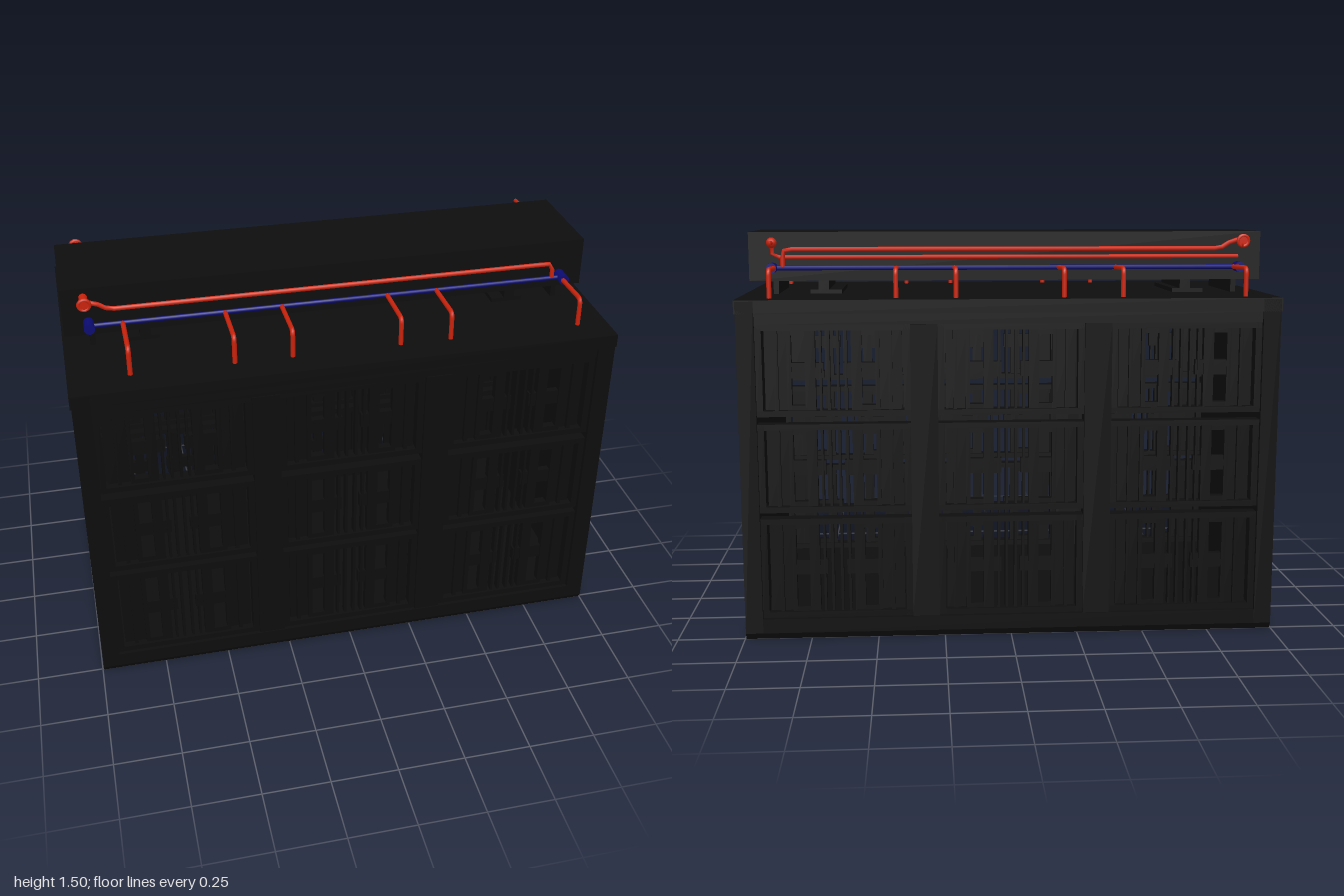
import * as THREE from 'three';

const mat = (name, color) => {
  const m = new THREE.MeshStandardMaterial({ color });
  m.name = name;
  return m;
};

export function createModel() {
  const root = new THREE.Group();
  const black = mat('black steel', 0x0d0d0d);
  const red = mat('red pipe', 0xc9220b);
  const blue = mat('blue pipe', 0x0b0b72);

  const add = (parent, name, geometry, material, x = 0, y = 0, z = 0) => {
    const m = new THREE.Mesh(geometry, material);
    m.name = name;
    m.position.set(x, y, z);
    parent.add(m);
    return m;
  };
  // Box given by its limits on each axis
  const box = (parent, name, x0, x1, y0, y1, z0, z1, material = black) =>
    add(parent, name, new THREE.BoxGeometry(x1 - x0, y1 - y0, z1 - z0), material,
      (x0 + x1) / 2, (y0 + y1) / 2, (z0 + z1) / 2);
  // Side profile (z, y) extruded along x
  const slab = (parent, name, points, x0, x1) => {
    const shape = new THREE.Shape(points.map(([z, y]) => new THREE.Vector2(-z, y)));
    const g = new THREE.ExtrudeGeometry(shape, { depth: x1 - x0, bevelEnabled: false });
    g.rotateY(Math.PI / 2);
    return add(parent, name, g, black, x0, 0, 0);
  };
  // Tube through straight runs with rounded elbows
  const pipe = (parent, name, pts, r, material) => {
    const v = pts.map(p => new THREE.Vector3(...p));
    const path = new THREE.CurvePath();
    let from = v[0];
    for (let i = 1; i < v.length - 1; i++) {
      const a = v[i].clone().add(v[i - 1].clone().sub(v[i]).setLength(0.022));
      const b = v[i].clone().add(v[i + 1].clone().sub(v[i]).setLength(0.022));
      path.add(new THREE.LineCurve3(from, a));
      path.add(new THREE.QuadraticBezierCurve3(a, v[i], b));
      from = b;
    }
    path.add(new THREE.LineCurve3(from, v[v.length - 1]));
    return add(parent, name, new THREE.TubeGeometry(path, v.length > 2 ? 60 : 2, r, 8), material);
  };

  // Cabinet shell, open at front and back
  const cabinet = new THREE.Group();
  cabinet.name = 'cabinet';
  root.add(cabinet);
  const D = 0.52;
  const side = [[-0.505, 0], [0.505, 0], [D, 0.025], [D, 1.265], [-D, 1.265], [-D, 0.025]];
  slab(cabinet, 'leftWall', side, 0.93, 0.995);
  slab(cabinet, 'rightWall', side, -0.995, -0.93);
  slab(cabinet, 'floor', [[-0.505, 0], [0.505, 0], [D, 0.025], [D, 0.08], [-D, 0.08], [-D, 0.025]], -0.93, 0.93);
  box(cabinet, 'roof', -1, 1, 1.22, 1.27, -D, D);
  box(cabinet, 'roofBeam', -0.93, 0.93, 1.18, 1.22, -0.51, 0.51);

  // Grille bay: frame, side panels, bars and an H shaped brace
  const bay = (parent, cx, y0, y1, half) => {
    const g = new THREE.Group();
    g.name = 'grilleBay';
    g.position.x = cx;
    parent.add(g);
    const zs = 0.465, ze = 0.495;
    box(g, 'lowerRail', -half, half, y0, y0 + 0.022, zs - 0.01, ze + 0.01);
    box(g, 'upperRail', -half, half, y1 - 0.022, y1, zs - 0.01, ze + 0.01);
    const mid = (y0 + y1) / 2;
    for (const s of [-1, 1]) {
      const bar = (name, a, b, z0, z1, ya = y0, yb = y1) =>
        box(g, name, Math.min(s * a, s * b), Math.max(s * a, s * b), ya, yb, z0, z1);
      bar('sidePanel', 0.152, half - 0.03, zs, zs + 0.014);
      bar('frameUpright', half - 0.024, half, zs, ze + 0.01);
      bar('panelRib', 0.152, 0.168, zs, ze);
      bar('panelRib', 0.2, 0.214, zs, ze);
      bar('wideBar', 0.065, 0.103, zs, ze);
      bar('thinBar', 0.042, 0.051, zs, ze);
      bar('thinBar', 0.012, 0.022, zs, ze);
      bar('brace', 0.035, 0.152, zs, ze - 0.005, mid - 0.028, mid + 0.028);
      bar('railTab', 0.1, 0.152, zs, ze, y1 - 0.04, y1 - 0.02);
      bar('railTab', 0.1, 0.152, zs, ze, y0 + 0.02, y0 + 0.04);
    }
  };
  for (const [name, turn] of [['frontFace', 0], ['backFace', Math.PI]]) {
    const face = new THREE.Group();
    face.name = name;
    face.rotation.y = turn;
    cabinet.add(face);
    for (const x of [-0.32, 0.32]) box(face, 'pillar', x - 0.05, x + 0.05, 0.08, 1.18, 0.45, 0.515);
    for (const [y0, y1] of [[0.08, 0.46], [0.483, 0.815], [0.843, 1.18]]) {
      bay(face, -0.65, y0, y1, 0.28);
      bay(face, 0, y0, y1, 0.27);
      bay(face, 0.65, y0, y1, 0.28);
    }
  }

  // Long duct on top and its supports
  const duct = new THREE.Group();
  duct.name = 'duct';
  root.add(duct);
  box(duct, 'ductBody', -0.99, 0.98, 1.32, 1.505, -0.21, 0.18);
  for (const x of [-0.89, 0.88]) box(duct, 'ductLeg', x - 0.01, x + 0.01, 1.265, 1.325, -0.2, 0.17);
  for (const x of [-0.7, 0.7]) {
    box(duct, 'ductFoot', x - 0.02, x + 0.02, 1.265, 1.325, -0.2, 0.17);
    box(duct, 'ductFootPlate', x - 0.07, x + 0.05, 1.265, 1.285, -0.2, 0.17);
  }

  // Red and blue mains with drop pipes; dir is +1 at the front, -1 at the back
  const plumbing = (name, dir, z, zOut, yRed, drops) => {
    const g = new THREE.Group();
    g.name = name;
    root.add(g);
    const zm = dir * z, zo = dir * zOut;
    const ring = new THREE.TorusGeometry(0.02, 0.007, 6, 14);
    pipe(g, 'redMain', [[-0.92, yRed + 0.035, zm], [-0.87, yRed + 0.03, zm], [-0.83, yRed, zm],
      [0.85, yRed, zm], [0.85, 1.375, zm]], 0.009, red);
    pipe(g, 'blueMain', [[-0.91, 1.37, zm], [0.9, 1.37, zm]], 0.009, blue);
    for (const x of drops)
      pipe(g, 'dropPipe', [[x, 1.37, zm], [x, 1.375, zo], [x, 1.262, zo]], 0.009, red);
    for (const x of [-0.9, 0.89]) {
      const cap = add(g, 'blueCoupling', new THREE.CylinderGeometry(0.02, 0.02, 0.06, 10), blue, x, 1.37, zm);
      cap.rotation.x = Math.PI / 2;
    }
    // Valve with hand wheel
    const body = add(g, 'valveBody', new THREE.CylinderGeometry(0.016, 0.016, 0.07, 10), red, -0.91, 1.47, zm);
    body.rotation.x = Math.PI / 2;
    add(g, 'valveWheel', ring, red, -0.91, 1.47, zm + dir * 0.03);
    return g;
  };
  plumbing('frontPlumbing', 1, 0.21, 0.41, 1.43, [-0.78, -0.41, -0.2, 0.2, 0.39, 0.885]);
  const back = plumbing('backPlumbing', -1, 0.235, 0.44, 1.44, [-0.88, -0.42, -0.2, 0.2, 0.42, 0.88]);
  // Second back run with outlets
  pipe(back, 'returnPipe', [[-0.9, 1.41, -0.225], [0.89, 1.41, -0.225], [0.89, 1.465, -0.225],
    [0.89, 1.465, -0.32]], 0.008, red);
  pipe(back, 'outletPipe', [[-0.91, 1.465, -0.22], [-0.91, 1.45, -0.3]], 0.009, red);
  add(back, 'outletCollar', new THREE.SphereGeometry(0.02, 10, 8), red, 0.89, 1.465, -0.235);

  return root;
}
